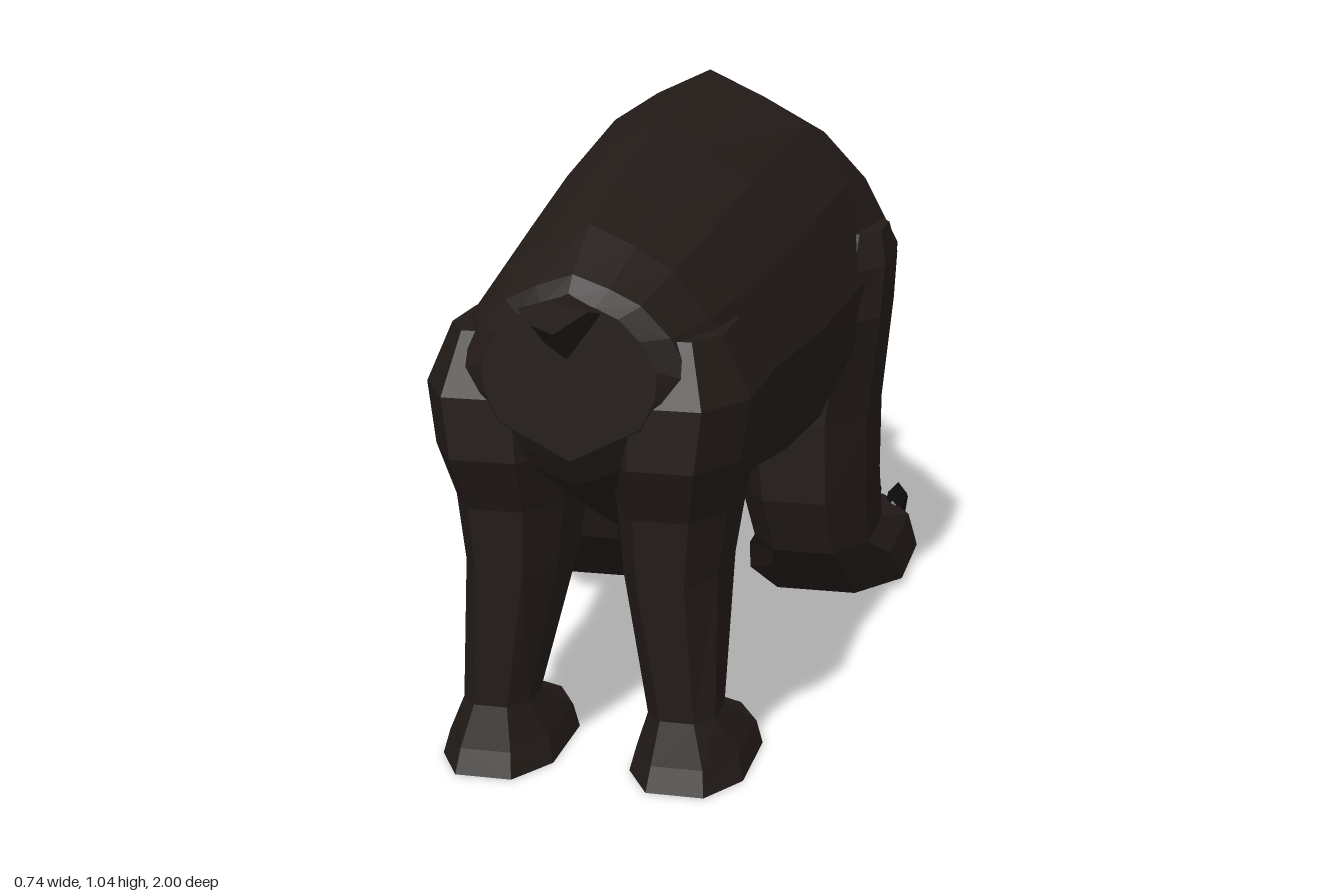
import * as THREE from 'three';

const mat = (color, name) => new THREE.MeshStandardMaterial({ color, name, flatShading: true, roughness: 0.9 });
const fur = mat(0x221b18, 'fur');
const collarFur = mat(0xcccccc, 'paleFur');
const clawMat = mat(0x0c0c0d, 'claw');
const noseMat = mat(0x0a0908, 'nose');
const toothMat = mat(0xcccccc, 'tooth');
const eyeMat = mat(0x8a8078, 'eye');

// Skin a list of equal-length point rings, closing both ends; winding is set so faces point outward
function loft(name, rings, material) {
  const n = rings[0].length, pos = [], tris = [];
  rings.forEach(r => r.forEach(p => pos.push(new THREE.Vector3(...p))));
  for (let i = 0; i < rings.length - 1; i++) {
    for (let j = 0; j < n; j++) {
      const a = i * n + j, b = i * n + (j + 1) % n;
      tris.push([a, b, b + n], [a, b + n, a + n]);
    }
  }
  for (const [start, flip] of [[0, true], [(rings.length - 1) * n, false]]) {
    const c = new THREE.Vector3();
    for (let j = 0; j < n; j++) c.addScaledVector(pos[start + j], 1 / n);
    const k = pos.push(c) - 1;
    for (let j = 0; j < n; j++) {
      const a = start + j, b = start + (j + 1) % n;
      tris.push(flip ? [b, a, k] : [a, b, k]);
    }
  }
  let volume = 0;
  const cross = new THREE.Vector3();
  for (const [a, b, c] of tris) volume += pos[a].dot(cross.crossVectors(pos[b], pos[c]));
  const out = [];
  for (const [a, b, c] of tris) {
    for (const k of volume > 0 ? [a, b, c] : [a, c, b]) out.push(pos[k].x, pos[k].y, pos[k].z);
  }
  const geo = new THREE.BufferGeometry();
  geo.setAttribute('position', new THREE.Float32BufferAttribute(out, 3));
  geo.computeVertexNormals();
  const mesh = new THREE.Mesh(geo, material);
  mesh.name = name;
  return mesh;
}

// Half outline of the torso, from spine to keel, as fractions of width and height
const HALF = [[0, 1], [0.31, 0.87], [0.57, 0.72], [0.81, 0.42], [1, 0], [0.97, -0.3], [0.8, -0.62], [0, -1]];
const OUTLINE = [...HALF, ...HALF.slice(1, -1).reverse().map(([u, v]) => [-u, v])];

// Upright section: z, top, bottom, half width, height of widest point, z at top and bottom
function section([z, top, bottom, w, mid, zTop = z, zBottom = z]) {
  return OUTLINE.map(([u, v]) => [
    u * w,
    mid + v * (v > 0 ? top - mid : mid - bottom),
    z + v * v * ((v > 0 ? zTop : zBottom) - z),
  ]);
}

// Horizontal octagonal section for legs: y, inner x, outer x, front z, back z
const OCT = [[1, 0.5], [0.5, 1], [-0.5, 1], [-1, 0.5], [-1, -0.5], [-0.5, -1], [0.5, -1], [1, -0.5]];
function legSection(side, [y, x0, x1, z0, z1]) {
  return OCT.map(([u, v]) => [
    side * ((x0 + x1) / 2 + u * (x1 - x0) / 2), y, (z0 + z1) / 2 + v * (z1 - z0) / 2,
  ]);
}

const COLLAR_BACK = [-0.36, 0.945, 0.29, 0.3, 0.62, -0.32, -0.26];
const COLLAR_FRONT = [-0.49, 0.865, 0.36, 0.225, 0.62, -0.46, -0.45];
const BODY = [
  [0.92, 0.81, 0.55, 0.14, 0.7],
  [0.89, 0.84, 0.5, 0.19, 0.68],
  [0.79, 0.9, 0.44, 0.237, 0.65],
  [0.6, 0.945, 0.34, 0.265, 0.64],
  [0.35, 1.0, 0.295, 0.29, 0.64],
  [-0.06, 1.045, 0.265, 0.33, 0.68],
  [-0.2, 0.995, 0.275, 0.345, 0.7],
  COLLAR_BACK,
];
const NECK = [
  COLLAR_FRONT,
  [-0.62, 0.785, 0.415, 0.16, 0.61],
  [-0.7, 0.755, 0.45, 0.15, 0.61],
  [-0.77, 0.738, 0.452, 0.125, 0.61],
];
const MUZZLE = [
  [-0.72, 0.745, 0.53, 0.14, 0.62],
  [-0.8, 0.73, 0.54, 0.105, 0.62],
  [-0.85, 0.71, 0.547, 0.08, 0.61],
  [-0.89, 0.65, 0.55, 0.056, 0.59],
  [-0.95, 0.615, 0.553, 0.042, 0.58],
  [-0.985, 0.605, 0.56, 0.033, 0.58],
];
const JAW = [
  [-0.7, 0.56, 0.45, 0.12, 0.52],
  [-0.8, 0.525, 0.452, 0.078, 0.495],
  [-0.88, 0.485, 0.445, 0.05, 0.468],
  [-0.935, 0.465, 0.442, 0.028, 0.455],
];
const FRONT_LEG = [
  [0.75, 0.2, 0.335, -0.2, 0.0],
  [0.69, 0.16, 0.35, -0.24, 0.07],
  [0.6, 0.1, 0.347, -0.235, 0.118],
  [0.4, 0.06, 0.325, -0.25, 0.115],
  [0.25, 0.08, 0.322, -0.265, 0.11],
  [0.14, 0.1, 0.325, -0.28, 0.07],
  [0.09, 0.07, 0.355, -0.5, 0.015],
  [0.015, 0.058, 0.37, -0.51, -0.07],
];
const HIND_LEG = [
  [0.74, 0.08, 0.22, 0.64, 0.88],
  [0.64, 0.04, 0.265, 0.53, 0.918],
  [0.54, 0.035, 0.25, 0.55, 0.92],
  [0.45, 0.045, 0.225, 0.572, 0.885],
  [0.34, 0.055, 0.21, 0.605, 0.878],
  [0.11, 0.1, 0.212, 0.73, 0.866],
  [0.04, 0.075, 0.245, 0.59, 0.885],
  [0, 0.065, 0.255, 0.58, 0.9],
];

// Hooked claw: diamond sections along a bent path, ending at zTip
function claw(side, x, zTip) {
  const path = [[0.17, 0.085, 0.018], [0.09, 0.1, 0.02], [0.035, 0.075, 0.015], [0, 0.015, 0.003]];
  return loft('claw', path.map(([dz, y, r]) =>
    [[r, 0], [0, r], [-r, 0], [0, -r]].map(([u, v]) => [side * x + u, y + v, zTip + dz - v * 0.5])), clawMat);
}

function tooth(x, y, z, length, up) {
  const mesh = new THREE.Mesh(new THREE.ConeGeometry(0.007, length, 4), toothMat);
  mesh.name = 'tooth';
  mesh.position.set(x, y + (up ? 1 : -1) * length / 2, z);
  if (!up) mesh.rotation.x = Math.PI;
  return mesh;
}

export function createModel() {
  const bear = new THREE.Group();
  bear.name = 'bear';

  // Torso, pale collar and neck share their boundary sections
  bear.add(loft('body', BODY.map(section), fur));
  bear.add(loft('collar', [COLLAR_BACK, COLLAR_FRONT].map(section), collarFur));

  const head = new THREE.Group();
  head.name = 'head';
  bear.add(head);
  head.add(loft('neck', NECK.map(section), fur));
  head.add(loft('muzzle', MUZZLE.map(section), fur));
  head.add(loft('lowerJaw', JAW.map(section), fur));
  head.add(loft('nose', [[-0.965, 0.617, 0.575, 0.034, 0.595], [-1, 0.605, 0.575, 0.02, 0.59]].map(section), noseMat));

  // Stubby tail
  const tail = [[0.055, 0.79], [0, 0.815], [-0.055, 0.79], [-0.035, 0.74], [0, 0.715]];
  bear.add(loft('tail', [
    tail.map(([x, y]) => [x * 0.9, y, 0.88]),
    tail.map(([x, y]) => [x, y, 0.93]),
    tail.map(([x, y]) => [x, 0.82 + (y - 0.815) * 0.5, 1]),
  ], fur));

  for (const side of [1, -1]) {
    const legs = new THREE.Group();
    legs.name = side > 0 ? 'legsLeft' : 'legsRight';
    bear.add(legs);
    legs.add(loft('frontLeg', FRONT_LEG.map(s => legSection(side, s)), fur));
    legs.add(loft('hindLeg', HIND_LEG.map(s => legSection(side, s)), fur));
    for (const [x, z] of [[0.315, -0.575], [0.25, -0.625], [0.178, -0.645], [0.105, -0.62]]) {
      legs.add(claw(side, x, z));
    }

    // Rounded ear, thin from front to back
    const ear = [[-0.03, 0.69], [-0.038, 0.745], [-0.018, 0.78], [0.018, 0.78], [0.038, 0.745], [0.03, 0.69]];
    head.add(loft('ear', [-0.695, -0.655].map(z =>
      ear.map(([x, y]) => [side * (0.092 + x), y, z])), fur));

    // Eye and brow
    const eye = new THREE.Mesh(new THREE.OctahedronGeometry(0.012), eyeMat);
    eye.name = 'eye';
    eye.position.set(side * 0.066, 0.662, -0.842);
    head.add(eye);
    const brow = new THREE.Mesh(new THREE.BoxGeometry(0.035, 0.016, 0.055), fur);
    brow.name = 'brow';
    brow.position.set(side * 0.065, 0.685, -0.835);
    brow.rotation.set(-0.3, side * 0.5, 0);
    head.add(brow);

    // Teeth along both jaws, with longer canines at the front
    for (let i = 0; i < 6; i++) {
      const t = i / 5, long = i === 4 ? 0.045 : 0.025;
      head.add(tooth(side * (0.06 - 0.038 * t), 0.558, -0.83 - 0.12 * t, long, false));
      head.add(tooth(side * (0.05 - 0.034 * t), 0.5 - 0.04 * t, -0.82 - 0.1 * t, long, true));
    }
  }
  return bear;
}
